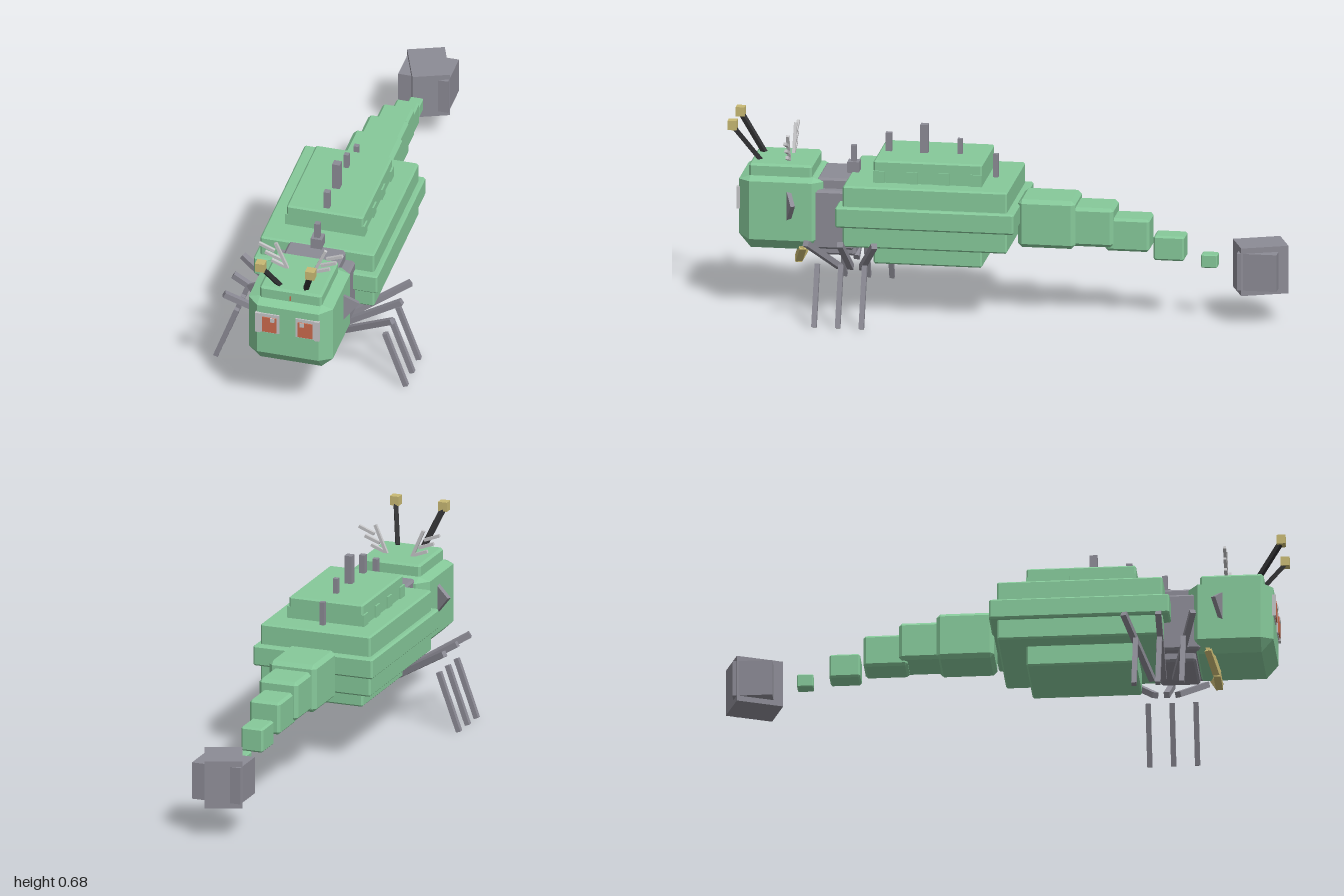
import * as THREE from 'three';
import { ConvexGeometry } from 'three/addons/geometries/ConvexGeometry.js';

const mat = (name, color) => {
  const m = new THREE.MeshStandardMaterial({ color });
  m.name = name;
  return m;
};

export function createModel() {
  const green = mat('shell green', 0x86c99a);
  const grey = mat('stone grey', 0x8c8b95);
  const gold = mat('gold', 0xc8b974);
  const red = mat('eye red', 0xca6a4c);
  const black = mat('feeler black', 0x303032);
  const light = mat('light grey', 0xc6c6c8);
  const model = new THREE.Group();
  model.name = 'armouredInsect';

  const add = (name, geo, m, parent = model) => {
    const mesh = new THREE.Mesh(geo, m);
    mesh.name = name;
    parent.add(mesh);
    return mesh;
  };
  // Box from its ranges on each axis
  const box = (name, m, [x0, x1], [y0, y1], [z0, z1]) => {
    const mesh = add(name, new THREE.BoxGeometry(Math.abs(x1 - x0), y1 - y0, z1 - z0), m);
    mesh.position.set((x0 + x1) / 2, (y0 + y1) / 2, (z0 + z1) / 2);
    return mesh;
  };
  // Corners of a box symmetric in x
  const corners = (w, [y0, y1], [z0, z1]) => {
    const pts = [];
    for (const x of [-w, w]) for (const y of [y0, y1]) for (const z of [z0, z1]) pts.push(new THREE.Vector3(x, y, z));
    return pts;
  };
  // Chamfered box: hull of three boxes, each full size along one axis
  const chamfer = (name, m, w, [y0, y1], [z0, z1], b) => add(name, new ConvexGeometry([
    ...corners(w, [y0 + b, y1 - b], [z0 + b, z1 - b]),
    ...corners(w - b, [y0, y1], [z0 + b, z1 - b]),
    ...corners(w - b, [y0 + b, y1 - b], [z0, z1]),
  ]), m);
  // Square bar between two points
  const bar = (name, m, a, b, t) => {
    const p = new THREE.Vector3(...a), q = new THREE.Vector3(...b);
    const mesh = add(name, new THREE.BoxGeometry(t, t, p.distanceTo(q)), m);
    mesh.position.copy(p).add(q).multiplyScalar(0.5);
    mesh.lookAt(q);
    return mesh;
  };

  // Body shell
  chamfer('bodyShell', green, 0.21, [0.265, 0.49], [-0.02, 0.57], 0.006);
  chamfer('bodyBand', green, 0.228, [0.34, 0.415], [-0.047, 0.595], 0.006);
  chamfer('backAndBelly', green, 0.141, [0.19, 0.57], [0.08, 0.47], 0.006);
  for (const s of [-1, 1]) for (const z of [0.1, 0.215, 0.33, 0.45])
    box('shellStud', green, [s * 0.13, s * 0.147], [0.48, 0.533], [z - 0.02, z + 0.02]);

  // Spines along the back
  for (const [z, top, r] of [[0.052, 0.575, 0.009], [0.18, 0.625, 0.009], [0.308, 0.673, 0.014], [0.436, 0.637, 0.011]])
    box('backSpine', grey, [-r, r], [0.48, top], [z - r, z + r]);
  box('neckSpineBase', grey, [-0.021, 0.021], [0.48, 0.527], [0.541, 0.583]);
  box('neckSpine', grey, [-0.01, 0.01], [0.52, 0.585], [0.552, 0.572]);

  // Neck
  chamfer('neck', grey, 0.14, [0.235, 0.45], [0.54, 0.7], 0.008);
  chamfer('neckCore', grey, 0.105, [0.205, 0.487], [0.54, 0.68], 0.008);

  // Tail segments and club
  for (const [w, y, z] of [
    [0.09, [0.257, 0.433], [-0.245, -0.04]],
    [0.074, [0.265, 0.408], [-0.38, -0.215]],
    [0.058, [0.25, 0.37], [-0.507, -0.35]],
    [0.042, [0.218, 0.308], [-0.63, -0.52]],
    [0.024, [0.193, 0.242], [-0.746, -0.688]],
  ]) chamfer('tailSegment', green, w, y, z, w * 0.16);
  const club = box('tailClub', grey, [-0.067, 0.067], [0.115, 0.29], [-0.985, -0.813]);
  club.rotation.y = 0.38;
  box('tailClubPlate', grey, [-0.092, 0.092], [0.135, 0.27], [-0.97, -0.828]);

  // Head
  add('head', new ConvexGeometry([
    ...corners(0.155, [0.265, 0.478], [0.69, 0.915]),
    ...corners(0.113, [0.225, 0.49], [0.69, 0.915]),
    ...corners(0.113, [0.275, 0.475], [0.655, 0.957]),
  ]), green);
  chamfer('headCap', green, 0.115, [0.47, 0.533], [0.695, 0.922], 0.008);
  box('browMark', red, [-0.002, 0.002], [0.492, 0.511], [0.918, 0.925]);

  // Triangular ear plate
  const earShape = new THREE.Shape();
  earShape.moveTo(0, -0.06);
  earShape.lineTo(0.058, 0.005);
  earShape.lineTo(0, 0.045);

  for (const s of [-1, 1]) {
    // Eye
    const X = (a, b) => [s * a, s * b];
    box('eyeFrame', light, X(0.03, 0.1), [0.367, 0.446], [0.945, 0.962]);
    box('eyeFrameSide', light, X(0.099, 0.118), [0.365, 0.447], [0.92, 0.966]);
    box('iris', red, X(0.039, 0.092), [0.371, 0.433], [0.96, 0.966]);
    box('pupilGlint', light, X(0.047, 0.062), [0.417, 0.433], [0.964, 0.969]);

    // Ear, turned backwards at its tip
    const geo = new THREE.ExtrudeGeometry(earShape, { depth: 0.016, bevelEnabled: false });
    geo.translate(0, 0, -0.008);
    const ear = add('ear', geo, grey);
    ear.position.set(s * 0.152, 0.4, 0.772);
    ear.rotation.y = s > 0 ? 0.4 : Math.PI - 0.4;

    // Feeler with knob
    bar('feeler', black, [s * 0.048, 0.53, 0.89], [s * 0.09, 0.655, 0.978], 0.016);
    box('feelerKnob', gold, X(0.075, 0.109), [0.65, 0.684], [0.967, 0.999]);

    // Feathered crest
    bar('crestStem', light, [s * 0.046, 0.525, 0.786], [s * 0.092, 0.632, 0.786], 0.011);
    for (const [x0, y0, x1, y1] of [[0.096, 0.598, 0.154, 0.621], [0.075, 0.567, 0.131, 0.588], [0.05, 0.535, 0.107, 0.557]])
      bar('crestBarb', light, [s * x0, y0, 0.786], [s * x1, y1, 0.786], 0.011);

    // Jaw sides
    bar('jawArm', gold, [s * 0.052, 0.174, 0.752], [s * 0.124, 0.238, 0.727], 0.025);
    bar('jawTip', gold, [s * 0.123, 0.232, 0.728], [s * 0.123, 0.262, 0.716], 0.015);

    // Three legs, splayed at the outer end
    for (const k of [-1, 0, 1]) {
      const z = 0.565 + k * 0.085;
      bar('upperLeg', grey, [s * 0.065, 0.153, 0.563 + k * 0.04], [s * 0.31, 0.302, 0.563 + k * 0.123], 0.021);
      bar('lowerLeg', grey, [s * 0.273, 0.218, z], [s * 0.35, 0.006, z], 0.018);
    }
  }
  bar('jaw', gold, [-0.058, 0.174, 0.752], [0.058, 0.174, 0.752], 0.025);

  return model;
}
